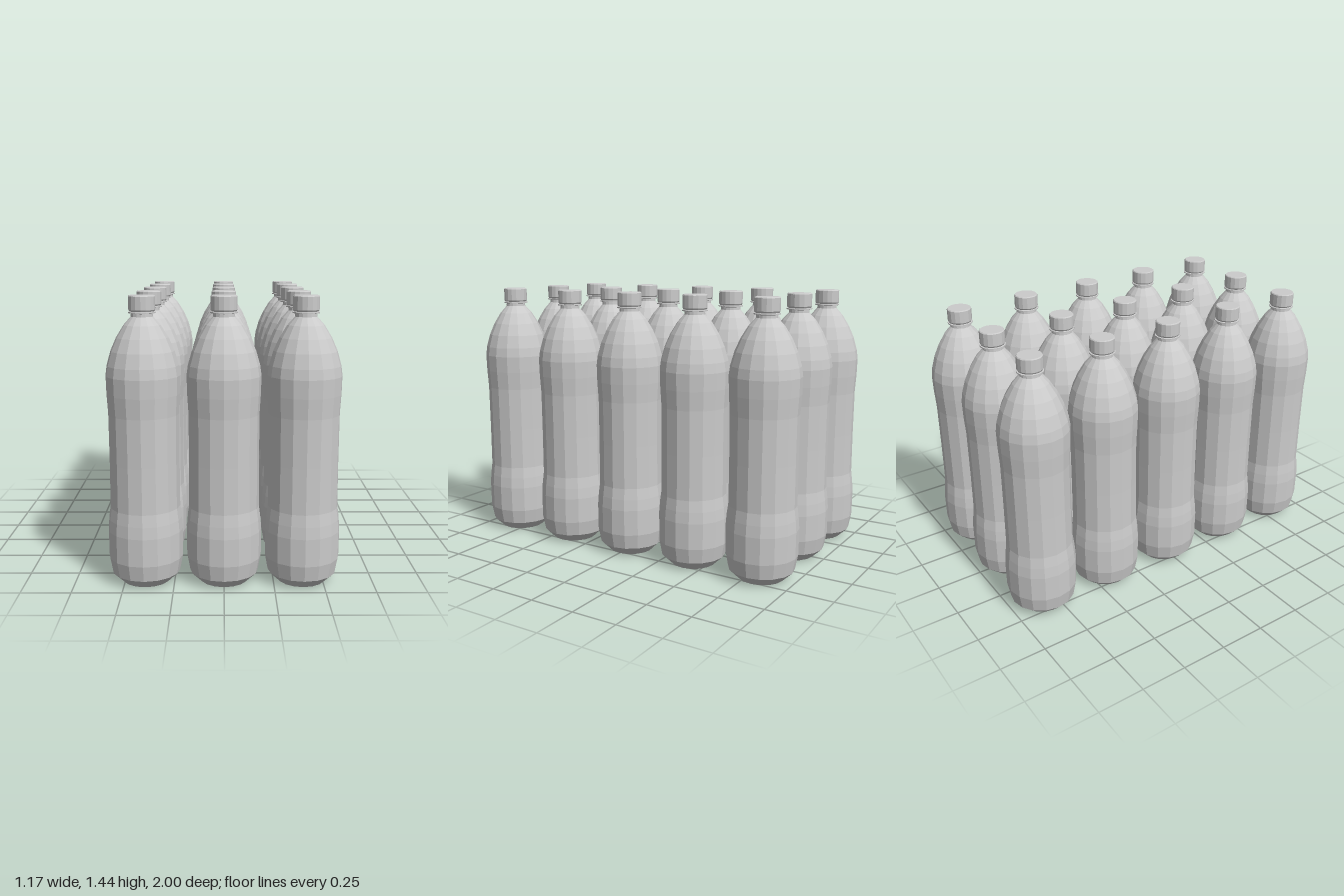
import * as THREE from 'three';

const SIDES = 16;
const material = new THREE.MeshStandardMaterial({ color: 0xcccccc, flatShading: true });

// Turned part from [radius, height] pairs, bottom to top
function turned(points) {
  return new THREE.LatheGeometry(points.map(([r, y]) => new THREE.Vector2(r, y)), SIDES);
}

// Chamfered base, wide foot, waisted grip, domed shoulder and neck
const bodyGeometry = turned([
  [0, 0], [0.12, 0], [0.172, 0.05], [0.187, 0.13], [0.188, 0.27], [0.183, 0.33],
  [0.175, 0.39], [0.174, 0.62], [0.175, 0.86], [0.181, 0.96], [0.183, 1.05],
  [0.176, 1.1], [0.156, 1.17], [0.127, 1.235], [0.09, 1.295], [0.054, 1.335], [0.052, 1.365],
]);

// Thin collar under the cap
const collarGeometry = turned([
  [0.05, 1.349], [0.067, 1.352], [0.067, 1.358], [0.05, 1.361],
]);

// Screw cap with a small top bevel
const capGeometry = turned([
  [0, 1.36], [0.06, 1.36], [0.065, 1.368], [0.065, 1.432], [0.061, 1.437], [0, 1.437],
]);

function createBottle() {
  const bottle = new THREE.Group();
  bottle.name = 'bottle';
  const parts = { bottleBody: bodyGeometry, neckCollar: collarGeometry, cap: capGeometry };
  for (const [name, geometry] of Object.entries(parts)) {
    const mesh = new THREE.Mesh(geometry, material);
    mesh.name = name;
    bottle.add(mesh);
  }
  return bottle;
}

export function createModel() {
  const model = new THREE.Group();
  model.name = 'bottlePack';
  // Three columns by five rows
  for (let column = -1; column <= 1; column++) {
    for (let row = -2; row <= 2; row++) {
      const bottle = createBottle();
      bottle.position.set(column * 0.395, 0, row * 0.406);
      model.add(bottle);
    }
  }
  return model;
}
